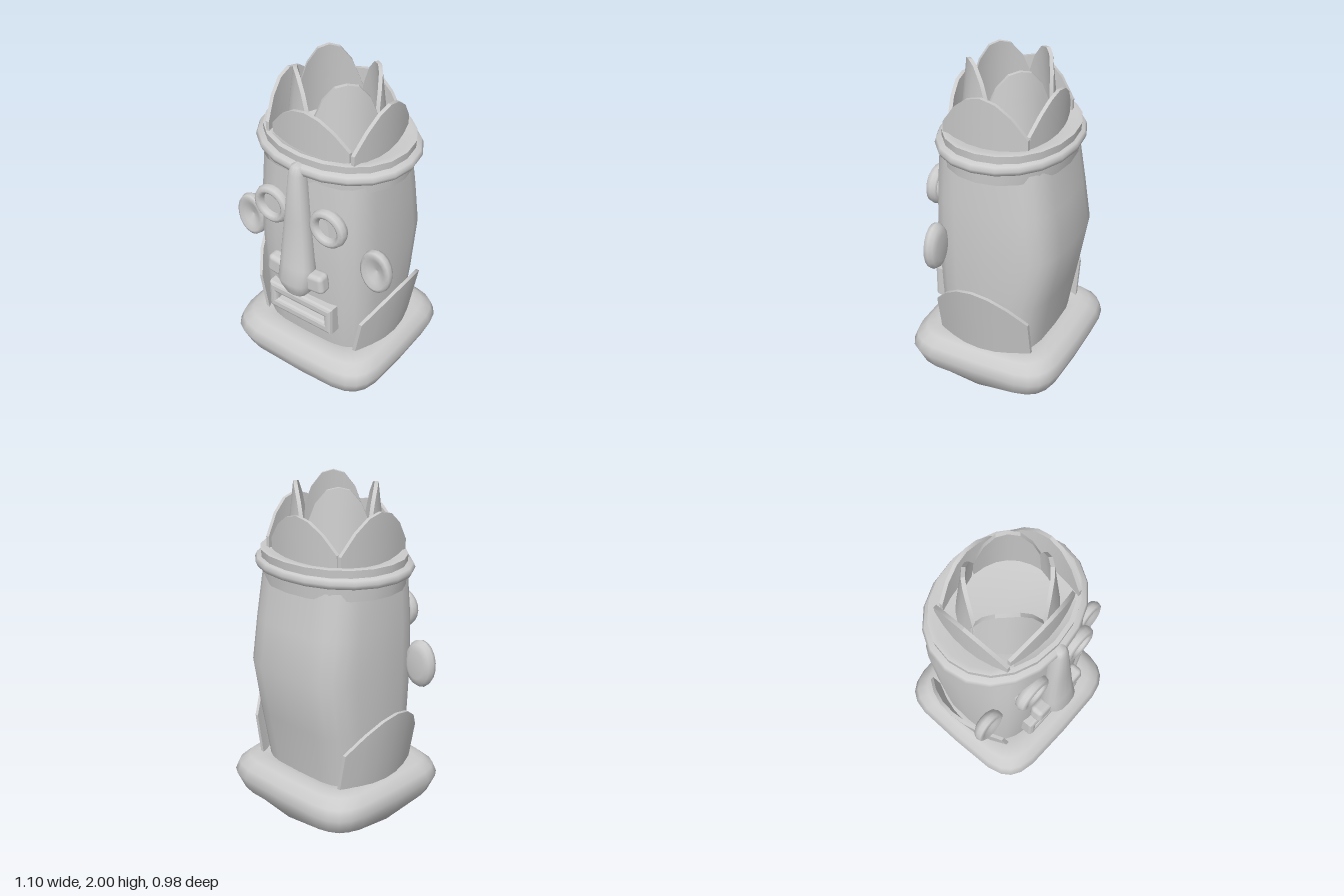
import * as THREE from 'three';
import { toCreasedNormals } from 'three/addons/utils/BufferGeometryUtils.js';
import { RoundedBoxGeometry } from 'three/addons/geometries/RoundedBoxGeometry.js';

const material = new THREE.MeshStandardMaterial({ color: 0xcccccc, side: THREE.DoubleSide });

// Skin over rounded-square rings [y, halfWidth, zFront, zBack]; n sets squareness.
function loft(rings, seg, n, crease = 0.7) {
  const pos = [], idx = [];
  const power = (v) => Math.sign(v) * Math.abs(v) ** (2 / n);
  rings.forEach(([y, rx, zf, zb], j) => {
    for (let i = 0; i < seg; i++) {
      const a = (i / seg) * Math.PI * 2;
      pos.push(rx * power(Math.cos(a)), y, (zf + zb) / 2 + ((zf - zb) / 2) * power(Math.sin(a)));
      if (j === rings.length - 1) continue;
      const p = j * seg + i, q = j * seg + ((i + 1) % seg);
      idx.push(p, p + seg, q, q, p + seg, q + seg);
    }
  });
  const g = new THREE.BufferGeometry();
  g.setAttribute('position', new THREE.Float32BufferAttribute(pos, 3));
  g.setIndex(idx);
  return toCreasedNormals(g, crease);
}

// Thin curved leaf standing on y = 0, its outside facing +z.
function leaf({ half, height, edge, bend, lean, power = 2, thick = 0.022 }) {
  const g = new THREE.BoxGeometry(2, 1, thick, 6, 3, 1);
  const p = g.attributes.position;
  for (let i = 0; i < p.count; i++) {
    const t = p.getX(i), s = p.getY(i) + 0.5;
    const top = edge + (height - edge) * (1 - Math.abs(t) ** power);
    p.setXYZ(i, t * half, s * top, p.getZ(i) - bend * t * t + (lean * s * top) / height);
  }
  return toCreasedNormals(g, 0.5);
}

export function createModel() {
  const model = new THREE.Group();
  const add = (name, geometry, x = 0, y = 0, z = 0, turn = 0) => {
    const mesh = new THREE.Mesh(geometry, material);
    mesh.name = name;
    mesh.position.set(x, y, z);
    mesh.rotation.y = turn;
    model.add(mesh);
    return mesh;
  };

  // Hollow body, bulging at the back
  add('body', loft([
    [0.17, 0.37, 0.3, -0.3], [0.3, 0.38, 0.32, -0.315], [0.6, 0.395, 0.34, -0.37],
    [0.93, 0.4, 0.36, -0.43], [1.2, 0.39, 0.355, -0.39], [1.46, 0.37, 0.34, -0.35],
  ], 24, 3.6));

  // Puffy square foot ring, open in the middle
  const footProfile = [[0.2, 0.27], [0.2, 0.08], [0.16, 0.02], [0.09, 0.015], [0.04, 0.07], [0, 0.17],
    [0.02, 0.23], [0.07, 0.275], [0.13, 0.29], [0.2, 0.27]];
  const foot = loft(footProfile.map(([d, y]) => [y, 0.52 - d, 0.49 - d, d - 0.49]), 24, 5, 1.2);
  const fp = foot.attributes.position;
  for (let i = 0; i < fp.count; i++) {
    if (fp.getY(i) > 0.06) continue;
    // underside rises towards the corners
    const corner = Math.min(Math.abs(fp.getX(i)), Math.abs(fp.getZ(i)));
    fp.setY(i, fp.getY(i) - 0.015 + corner * 0.1);
  }
  add('footRing', foot);

  // Collar with the planting surface, and its raised rim
  add('collar', loft([
    [1.43, 0.34, 0.28, -0.32], [1.42, 0.44, 0.345, -0.38], [1.6, 0.45, 0.355, -0.395],
    [1.605, 0.42, 0.33, -0.37], [1.57, 0.32, 0.26, -0.27], [1.57, 0.001, 0, -0.001],
  ], 20, 2.1, 0.6));
  add('collarRim', loft([
    [1.49, 0.43, 0.34, -0.37], [1.5, 0.48, 0.38, -0.41], [1.525, 0.492, 0.39, -0.42],
    [1.55, 0.48, 0.38, -0.41], [1.56, 0.43, 0.34, -0.37],
  ], 20, 2.1, 1));

  // Nose, widening down to the tip
  add('nose', loft([
    [0.675, 0.001, 0.4, 0.39], [0.68, 0.07, 0.45, 0.31], [0.72, 0.1, 0.465, 0.31],
    [0.78, 0.11, 0.485, 0.31], [0.88, 0.11, 0.455, 0.31], [1.2, 0.078, 0.435, 0.31],
    [1.5, 0.047, 0.415, 0.31], [1.55, 0.035, 0.4, 0.31], [1.565, 0.001, 0.37, 0.36],
  ], 16, 2.6, 0.9));

  // Ear dish, hollowed towards the front
  const earProfile = [[0, -0.038], [0.06, -0.038], [0.09, -0.022], [0.103, 0.005], [0.098, 0.03],
    [0.08, 0.04], [0.055, 0.022], [0, 0.002]].map(([r, z]) => new THREE.Vector2(r, z));
  const ear = new THREE.LatheGeometry(earProfile, 18).rotateX(Math.PI / 2).scale(1, 1.42, 1);

  for (const side of [1, -1]) {
    const label = side > 0 ? 'left' : 'right';
    add(label + 'Ear', ear, side * 0.448, 0.945, 0.237);
    add(label + 'EyeRing', new THREE.TorusGeometry(0.094, 0.027, 8, 20).scale(1, 1, 1.4), side * 0.195, 1.2, 0.352);
    add(label + 'EyeDisc', new THREE.CylinderGeometry(0.1, 0.1, 0.1, 20).rotateX(Math.PI / 2), side * 0.195, 1.2, 0.297);
    add(label + 'Nostril', new RoundedBoxGeometry(0.15, 0.125, 0.09, 2, 0.03), side * 0.125, 0.805, 0.385).rotation.z = side * 0.12;
    // Large leaf hugging the lower body
    add(label + 'LowerLeaf', leaf({ half: 0.3, height: 0.45, edge: 0.24, bend: 0.085, lean: 0.085 }),
      side * 0.415, 0.28, -0.01, (side * Math.PI) / 2);
  }

  // Mouth: bevelled frame round a slot
  const rect = (Type, w, h) => new Type([[-w, -h], [w, -h], [w, h], [-w, h]].map(([x, y]) => new THREE.Vector2(x, y)));
  const lips = rect(THREE.Shape, 0.21, 0.075);
  lips.holes.push(rect(THREE.Path, 0.195, 0.045));
  add('mouth', new THREE.ExtrudeGeometry(lips, {
    depth: 0.065, bevelThickness: 0.02, bevelSize: 0.02, bevelSegments: 2,
  }), 0.003, 0.525, 0.305);

  // Crown: four outer leaves, four taller inner ones between them
  const outer = [['front', 0, 0.28, 0.24], ['left', 0.33, 0, 0.27], ['back', 0, -0.285, 0.24], ['right', -0.33, 0, 0.27]];
  outer.forEach(([name, x, z, h], k) => {
    add(name + 'CrownLeaf', leaf({ half: 0.26, height: h + 0.06, edge: 0.12, bend: 0.045, lean: 0.008 }),
      x, 1.54, z, (k * Math.PI) / 2);
    add('innerCrownLeaf' + (k + 1),
      leaf({ half: 0.19, height: 0.46 - (k % 2) * 0.015, edge: 0.2, bend: 0.075, lean: -0.05, power: 2.5 }),
      (k < 2 ? 1 : -1) * 0.205, 1.54, (k === 0 || k === 3 ? 1 : -1) * 0.185, ((k + 0.5) * Math.PI) / 2);
  });

  return model;
}
